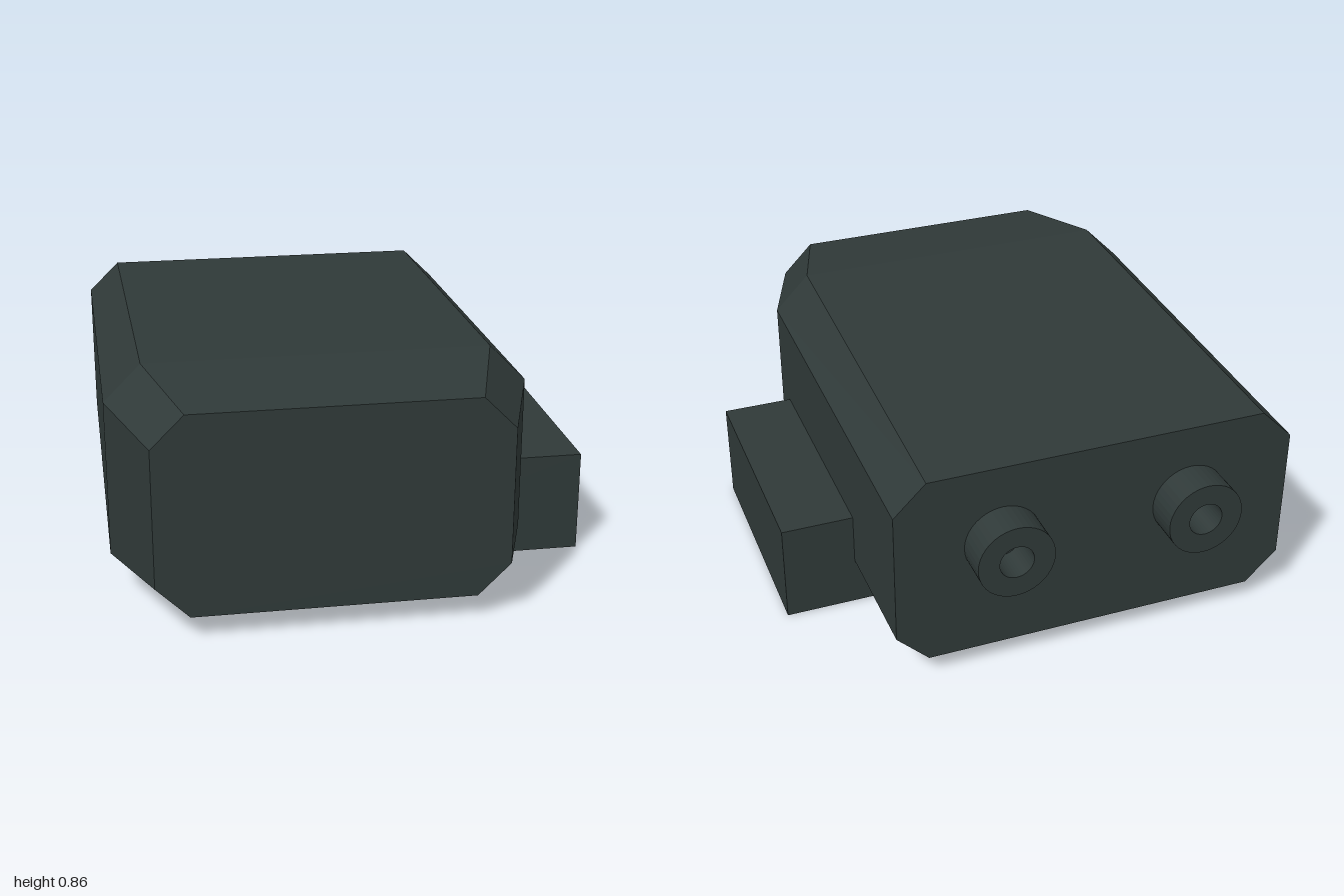
import * as THREE from 'three';

const CX = -0.133; // the housing sits off-centre

// Chamfered octagon, counter-clockwise seen from the front
function octagon({ z, w, cw, y0, y1, c0, c1 }) {
  return [
    [-cw, y0], [cw, y0], [w, c0], [w, c1],
    [cw, y1], [-cw, y1], [-w, c1], [-w, c0],
  ].map(([x, y]) => [CX + x, y, z]);
}

// Closed skin through a row of cross-sections, front to back
function loft(rings) {
  const pos = [];
  const tri = (a, b, c) => pos.push(...a, ...b, ...c);
  const n = rings[0].length;
  for (let r = 0; r < rings.length - 1; r++) {
    const a = rings[r], b = rings[r + 1];
    for (let i = 0; i < n; i++) {
      const j = (i + 1) % n;
      tri(a[i], b[i], b[j]);
      tri(a[i], b[j], a[j]);
    }
  }
  const front = rings[0], back = rings[rings.length - 1];
  for (let i = 1; i < n - 1; i++) {
    tri(front[0], front[i], front[i + 1]);
    tri(back[0], back[i + 1], back[i]);
  }
  const g = new THREE.BufferGeometry();
  g.setAttribute('position', new THREE.Float32BufferAttribute(pos, 3));
  g.computeVertexNormals();
  return g;
}

export function createModel() {
  const model = new THREE.Group();
  model.name = 'housing';
  const darkGrey = new THREE.MeshStandardMaterial({ color: 0x2f3938 });
  darkGrey.name = 'dark grey';

  const add = (name, geometry) => {
    const mesh = new THREE.Mesh(geometry, darkGrey);
    mesh.name = name;
    model.add(mesh);
    return mesh;
  };

  // Chamfered body: narrowed nose, widest shoulder, slightly lower rear
  add('body', loft([
    { z: 1, w: 0.607, cw: 0.492, y0: 0.085, y1: 0.805, c0: 0.198, c1: 0.69 },
    { z: 0.623, w: 0.738, cw: 0.607, y0: 0.03, y1: 0.857, c0: 0.163, c1: 0.725 },
    { z: -0.868, w: 0.738, cw: 0.621, y0: 0.077, y1: 0.812, c0: 0.192, c1: 0.697 },
  ].map(octagon)));

  // Mounting block under the left side
  const block = add('mountingBlock', new THREE.BoxGeometry(1.055, 0.375, 0.882));
  block.position.set(0.342, 0.1875, 0.067);

  // Two hollow sockets on the rear
  const ring = new THREE.Shape().absarc(0, 0, 0.139, 0, Math.PI * 2);
  ring.holes.push(new THREE.Path().absarc(0, 0, 0.062, 0, Math.PI * 2, true));
  const socket = new THREE.ExtrudeGeometry(ring, { depth: 0.14, bevelEnabled: false, curveSegments: 20 });
  for (const [side, x] of [['right', -0.485], ['left', 0.217]]) {
    add(side + 'RearSocket', socket).position.set(x, 0.515, -1);
  }

  return model;
}
